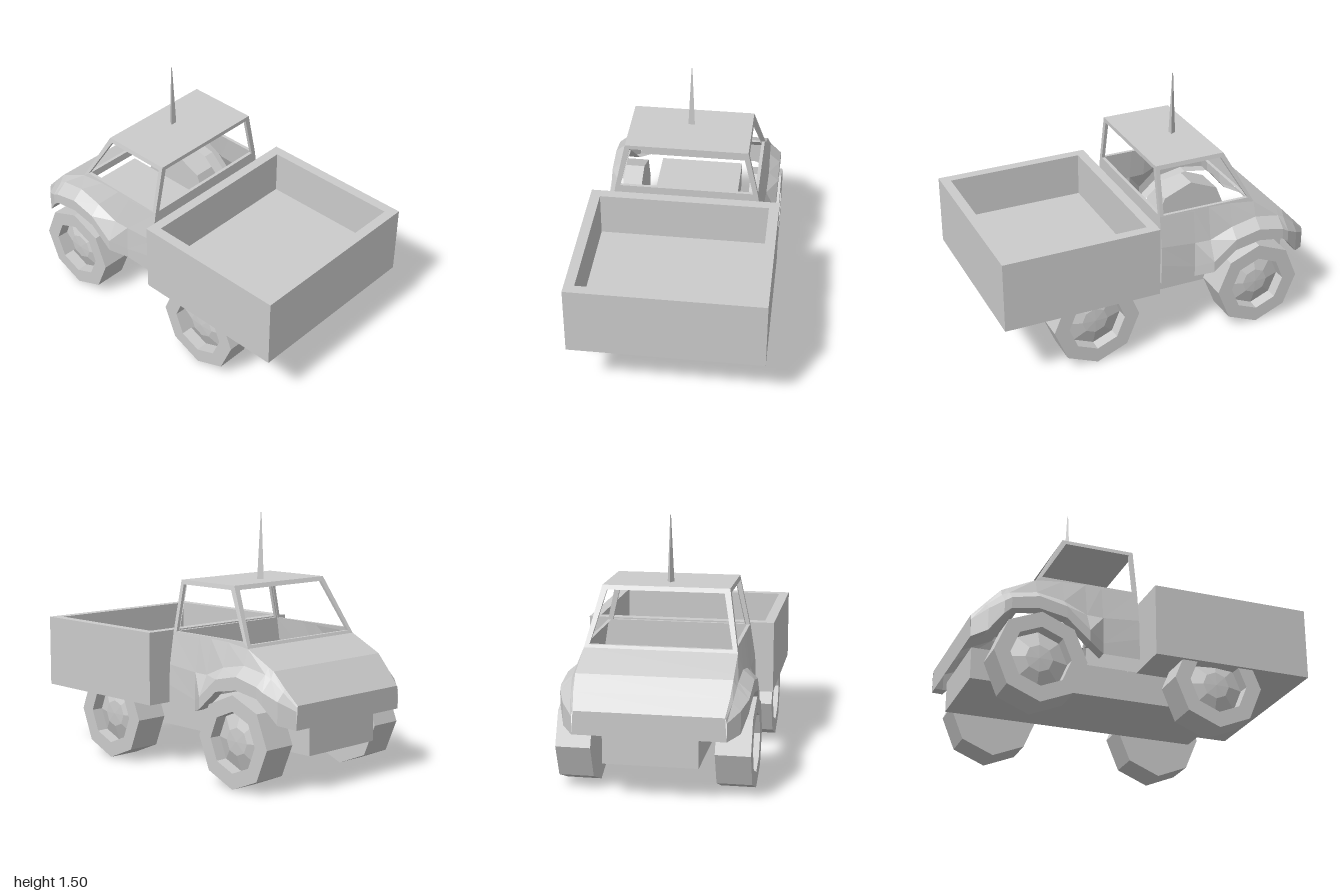
import * as THREE from 'three';

const solid = new THREE.MeshStandardMaterial({ color: 0xcccccc, flatShading: true });
const sheet = new THREE.MeshStandardMaterial({ color: 0xcccccc, flatShading: true, side: THREE.DoubleSide });

function add(parent, name, geometry, material = solid) {
  const mesh = new THREE.Mesh(geometry, material);
  mesh.name = name;
  parent.add(mesh);
  return mesh;
}

// Flat-faced geometry from a list of four-cornered faces
function fromQuads(quads) {
  const pos = [];
  for (const [a, b, c, d] of quads) pos.push(...a, ...b, ...c, ...a, ...c, ...d);
  const g = new THREE.BufferGeometry();
  g.setAttribute('position', new THREE.Float32BufferAttribute(pos, 3));
  g.computeVertexNormals();
  return g;
}

// Skin between neighbouring rows of points
function loft(rows) {
  const quads = [];
  for (let i = 0; i + 1 < rows.length; i++)
    for (let j = 0; j + 1 < rows[i].length; j++)
      quads.push([rows[i][j], rows[i + 1][j], rows[i + 1][j + 1], rows[i][j + 1]]);
  return fromQuads(quads);
}

// Window frame: outer loop, opening loop, and a reveal set inwards
function frame(outer, inner, depth) {
  const reveal = inner.map((p) => p.map((v, k) => v + depth[k]));
  return loft([outer, inner, reveal].map((loop) => [...loop, loop[0]]));
}

const flip = ([x, y, z]) => [-x, y, z];

function box(parent, name, w, h, d, x, y, z) {
  add(parent, name, new THREE.BoxGeometry(w, h, d)).position.set(x, y, z);
}

function createWheel(side, z) {
  // Profile from the inner face around the tread to the domed hub
  const profile = [[0, -0.1], [0.267, -0.1], [0.267, 0.1], [0.175, 0.1], [0.172, 0.03], [0.08, 0.065], [0, 0.07]];
  const g = new THREE.LatheGeometry(profile.map(([r, y]) => new THREE.Vector2(r, y)), 8).toNonIndexed();
  g.computeVertexNormals();
  g.rotateZ(-side * Math.PI / 2);
  g.translate(side * 0.45, 0.267, z);
  return g;
}

function createCab() {
  const cab = new THREE.Group();
  cab.name = 'cab';

  // Side sections: z, then (x, y) of belt, shoulder, fender edge and lower edge
  const stations = [
    [-0.02, 0.435, 0.81, 0.465, 0.62, 0.47, 0.5, 0.47, 0.375],
    [-0.24, 0.435, 0.81, 0.465, 0.6, 0.47, 0.44, 0.47, 0.375],
    [-0.34, 0.436, 0.805, 0.47, 0.6, 0.53, 0.48, 0.53, 0.41],
    [-0.48, 0.437, 0.8, 0.475, 0.66, 0.535, 0.6, 0.535, 0.53],
    [-0.64, 0.44, 0.78, 0.47, 0.69, 0.535, 0.635, 0.535, 0.56],
    [-0.8, 0.442, 0.7, 0.465, 0.66, 0.535, 0.6, 0.535, 0.535],
    [-0.84, 0.442, 0.68, 0.463, 0.64, 0.53, 0.575, 0.53, 0.5],
    [-0.92, 0.435, 0.595, 0.45, 0.575, 0.495, 0.53, 0.495, 0.4],
    [-1.0, 0.42, 0.51, 0.425, 0.5, 0.43, 0.48, 0.43, 0.375],
  ];
  const rows = stations.map(([z, ...s]) => {
    const row = [];
    for (let i = 0; i < s.length; i += 2) row.push([s[i], s[i + 1], z]);
    return row;
  });
  // Wheel arch lip turned inwards
  const lip = rows.slice(1).map((row) => {
    const [x, y, z] = row[3];
    return [row[3], [x - 0.07, y, z]];
  });

  // Side window loops
  const sideOuter = [[0.435, 0.81, -0.02], [0.37, 1.11, -0.02], [0.37, 1.11, -0.46], [0.44, 0.78, -0.64]];
  const sideInner = [[0.434, 0.814, -0.045], [0.376, 1.085, -0.045], [0.376, 1.085, -0.44], [0.435, 0.812, -0.6]];

  for (const side of [1, -1]) {
    const label = side > 0 ? 'left' : 'right';
    const m = (loop) => (side > 0 ? loop : loop.map(flip));
    add(cab, label + 'SidePanel', loft(rows.map(m)), sheet);
    add(cab, label + 'ArchLip', loft(lip.map(m)), sheet);
    add(cab, label + 'WindowFrame', frame(m(sideOuter), m(sideInner), [-side * 0.02, 0, 0]), sheet);
  }

  // Hood and front panel
  const hood = rows.slice(4).map((row) => [row[0], flip(row[0])]);
  hood.push([[0.43, 0.375, -1], [-0.43, 0.375, -1]]);
  add(cab, 'hood', loft(hood), sheet);

  // Windshield and rear window frames
  const pair = (a, b) => [a, b, flip(b), flip(a)];
  add(cab, 'windshieldFrame', frame(
    pair([0.44, 0.78, -0.64], [0.37, 1.11, -0.46]),
    pair([0.41, 0.797, -0.631], [0.34, 1.085, -0.474]), [0, 0, 0.02]), sheet);
  add(cab, 'rearWindowFrame', frame(
    pair([0.435, 0.81, -0.02], [0.37, 1.11, -0.02]),
    pair([0.405, 0.815, -0.02], [0.343, 1.085, -0.02]), [0, 0, -0.02]), sheet);

  // Rear wall and roof
  add(cab, 'rearWall', loft(rows[0].map((p) => [p, flip(p)])), sheet);
  add(cab, 'roof', fromQuads([pair([0.37, 1.11, -0.02], [0.37, 1.11, -0.46])]), sheet);

  // Three-sided antenna
  const antenna = add(cab, 'antenna', new THREE.CylinderGeometry(0.003, 0.023, 0.39, 3));
  antenna.rotation.y = Math.PI;
  antenna.position.set(0, 1.305, -0.305);
  return cab;
}

function createBed() {
  const bed = new THREE.Group();
  bed.name = 'cargoBed';
  // Four walls around the floor
  box(bed, 'floor', 1.02, 0.16, 0.84, 0, 0.46, 0.52);
  for (const side of [1, -1]) {
    box(bed, 'sideWall', 0.06, 0.43, 0.96, side * 0.54, 0.595, 0.52);
    box(bed, 'endWall', 1.02, 0.43, 0.06, 0, 0.595, 0.52 + side * 0.45);
  }
  return bed;
}

export function createModel() {
  const model = new THREE.Group();
  model.name = 'pickupTruck';

  box(model, 'chassis', 0.54, 0.185, 1.55, 0, 0.2925, -0.175);
  model.add(createCab(), createBed());

  for (const side of [1, -1]) {
    add(model, 'cabWheel', createWheel(side, -0.63));
    add(model, 'bedWheel', createWheel(side, 0.43));
  }
  return model;
}
